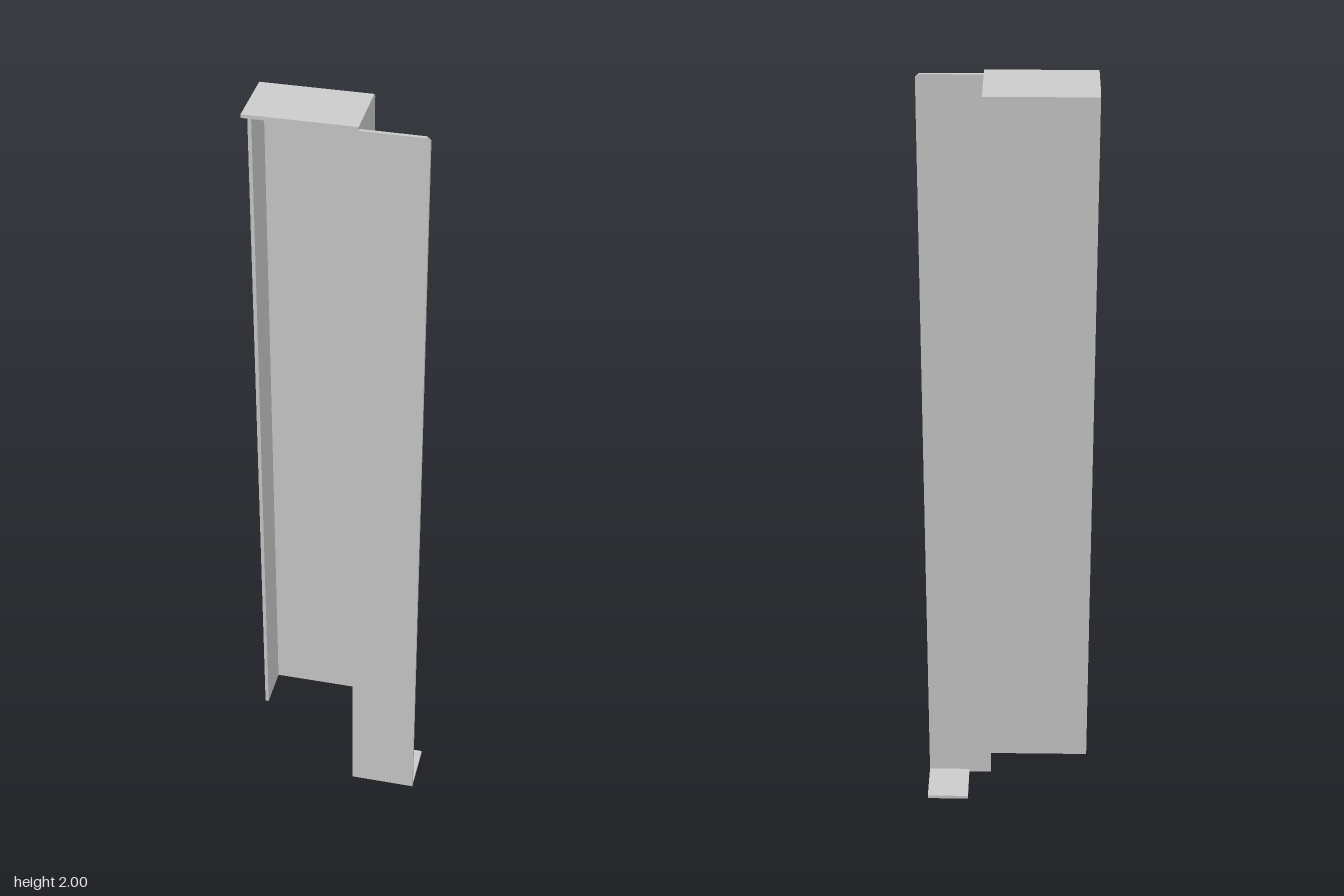
import * as THREE from 'three';

const T = 0.009; // sheet thickness
const X0 = -0.213, X1 = 0.053, X2 = 0.213; // left edge, web, right edge
const ZB = -0.085, ZF = 0.085;
const Y0 = 0.183, YT = 2 - T; // channel bottom, underside of cap

export function createModel() {
  const group = new THREE.Group();
  const material = new THREE.MeshStandardMaterial({ color: 0xcccccc, flatShading: true });

  const add = (name, geometry) => {
    const mesh = new THREE.Mesh(geometry, material);
    mesh.name = name;
    group.add(mesh);
    return mesh;
  };
  // Sheet spanning two opposite corners
  const sheet = (name, [ax, ay, az], [bx, by, bz]) => {
    const g = new THREE.BoxGeometry(bx - ax, by - ay, bz - az);
    g.translate((ax + bx) / 2, (ay + by) / 2, (az + bz) / 2);
    return add(name, g);
  };
  const extrude = (points, depth) => new THREE.ExtrudeGeometry(
    new THREE.Shape(points.map(([x, y]) => new THREE.Vector2(x, y))),
    { depth, bevelEnabled: false });

  // Tall channel: back plate, short side flange and full-depth web
  sheet('backPlate', [X0, Y0, ZB], [X1, YT, ZB + T]);
  sheet('sideFlange', [X0, Y0, ZB + T], [X0 + T, YT, 0.032]);
  sheet('web', [X1 - T, Y0, ZB + T], [X1, YT, ZF - T]);

  // Cap with a bevelled rear fold, profile in (z, y) swept along x
  const cap = extrude([[-ZF, YT], [-ZB, YT], [-ZB - T, 2], [-ZF, 2]], X1 - X0);
  cap.rotateY(Math.PI / 2);
  cap.translate(X0, 0, 0);
  add('topCap', cap);

  // Front panel with a clipped outer top corner
  const panel = extrude(
    [[X1 - T, 0], [X2, 0], [X2, YT - T], [X2 - T, YT], [X1 - T, YT]], T);
  panel.translate(0, 0, ZF - T);
  add('frontPanel', panel);

  // Foot tab folded back from the panel's lower edge
  sheet('footTab', [0.104, 0, -0.045], [X2, T, ZF - T]);

  return group;
}
